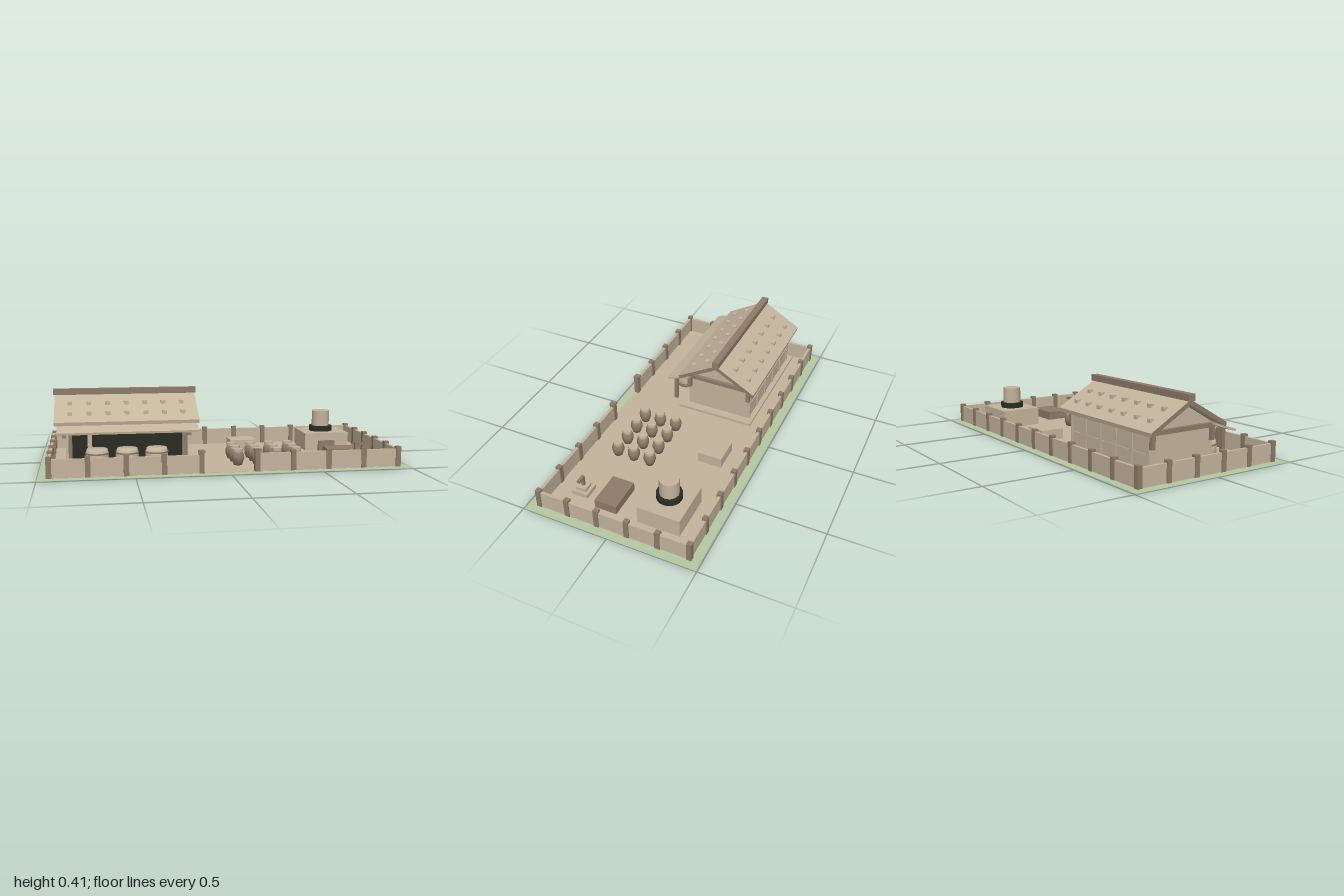
import * as THREE from 'three';

const mat = (name, color) => {
  const m = new THREE.MeshStandardMaterial({ color });
  m.name = name;
  return m;
};

export function createModel() {
  const tan = mat('tan plaster', 0xc4b49c);
  const brown = mat('brown timber', 0x8e7b69);
  const dark = mat('dark opening', 0x2c2c26);
  const grass = mat('grass green', 0xb6c8a2);
  const root = new THREE.Group();
  root.name = 'walledYard';

  const add = (parent, name, geometry, material, x = 0, y = 0, z = 0) => {
    const mesh = new THREE.Mesh(geometry, material);
    mesh.name = name;
    mesh.position.set(x, y, z);
    parent.add(mesh);
    return mesh;
  };
  const group = (name, x = 0, y = 0, z = 0) => {
    const g = new THREE.Group();
    g.name = name;
    g.position.set(x, y, z);
    root.add(g);
    return g;
  };
  // Box given by its ranges on each axis
  const box = (parent, name, material, [x0, x1], [y0, y1], [z0, z1]) =>
    add(parent, name, new THREE.BoxGeometry(x1 - x0, y1 - y0, z1 - z0), material,
      (x0 + x1) / 2, (y0 + y1) / 2, (z0 + z1) / 2);
  // Prism along x from a cross-section of [z, y] points; materials are [ends, sides]
  const prism = (parent, name, materials, points, x0, x1) => {
    const shape = new THREE.Shape(points.map(([z, y]) => new THREE.Vector2(-z, y)));
    const g = new THREE.ExtrudeGeometry(shape, { depth: x1 - x0, bevelEnabled: false });
    g.rotateY(Math.PI / 2);
    return add(parent, name, g, materials, x0);
  };
  const cylinder = (parent, name, material, r, y0, y1, sides = 16, x = 0, z = 0) =>
    add(parent, name, new THREE.CylinderGeometry(r, r, y1 - y0, sides), material, x, (y0 + y1) / 2, z);

  // Ground
  const ground = group('ground');
  box(ground, 'grass', grass, [-1, 1], [0.0005, 0.002], [-0.493, 0.493]);
  box(ground, 'yard', tan, [-0.95, 0.95], [0, 0.004], [-0.443, 0.443]);

  // Perimeter wall with a gate gap at the front
  const fence = group('perimeterWall');
  const T = 0.008;
  box(fence, 'backWall', tan, [-0.94, 0.94], [0, 0.1], [-0.435 - T, -0.435 + T]);
  for (const s of [-1, 1]) {
    box(fence, 'sideWall', tan, [s * 0.94 - T, s * 0.94 + T], [0, 0.1], [-0.435, 0.435]);
    const ends = [s * 0.15, s * 0.94].sort((a, b) => a - b);
    box(fence, 'frontWall', tan, ends, [0, 0.1], [0.432 - T, 0.432 + T]);
  }
  const post = (x, z, h = 0.113) =>
    box(fence, 'wallPost', brown, [x - 0.014, x + 0.014], [0, h], [z - 0.014, z + 0.014]);
  for (let i = 0; i <= 10; i++) post(-0.94 + i * 0.188, -0.435);
  for (const s of [-1, 1]) {
    for (let i = 1; i <= 4; i++) post(s * 0.94, -0.435 + i * 0.174);
    for (let i = 1; i <= 4; i++) post(s * (0.15 + i * 0.1975), 0.432);
    post(s * 0.15, 0.432, 0.12);
    box(fence, 'gatePostCap', brown, [s * 0.15 - 0.018, s * 0.15 + 0.018], [0.113, 0.124], [0.415, 0.449]);
  }

  // Main hall: platform, walls with gables, wall plate
  const hall = group('hall');
  box(hall, 'platform', tan, [-0.91, -0.125], [0, 0.02], [-0.335, 0.13]);
  prism(hall, 'walls', tan,
    [[0.085, 0.02], [0.085, 0.24], [-0.11, 0.352], [-0.305, 0.24], [-0.305, 0.02]], -0.86, -0.175);
  box(hall, 'wallPlate', brown, [-0.88, -0.155], [0.217, 0.24], [-0.315, 0.095]);
  for (const x of [-0.868, -0.167]) {
    for (const z of [0.076, -0.298]) {
      box(hall, 'cornerBracket', brown, [x - 0.011, x + 0.011], [0.15, 0.217], [z - 0.011, z + 0.011]);
    }
  }
  box(hall, 'smallOpening', dark, [-0.84, -0.74], [0.03, 0.19], [0.085, 0.093]);
  box(hall, 'wideOpening', dark, [-0.715, -0.21], [0.03, 0.19], [0.085, 0.093]);

  // Back wall pilasters and rail
  for (let i = 0; i < 6; i++) {
    const x = -0.85 + i * 0.133;
    box(hall, 'pilaster', tan, [x - 0.008, x + 0.008], [0.02, 0.217], [-0.311, -0.304]);
  }
  box(hall, 'backRail', tan, [-0.86, -0.175], [0.112, 0.122], [-0.309, -0.304]);

  // Roof: tan slopes with brown gable ends
  prism(hall, 'roof', [brown, tan],
    [[-0.11, 0.378], [0.127, 0.243], [0.123, 0.222], [-0.11, 0.352], [-0.343, 0.222], [-0.347, 0.243]].reverse(),
    -0.92, -0.115);
  box(hall, 'ridgeBeam', brown, [-0.928, -0.107], [0.372, 0.406], [-0.13, -0.09]);
  for (let i = 0; i < 7; i++) {
    for (const dz of [-0.173, -0.09, 0.09, 0.173]) {
      const x = -0.834 + i * 0.1055, z = -0.11 + dz;
      const y = 0.378 - Math.abs(dz) * 0.57;
      box(hall, 'roofStud', tan, [x - 0.013, x + 0.013], [y - 0.008, y + 0.013], [z - 0.012, z + 0.012]);
    }
  }

  // Veranda canopy and its posts
  prism(hall, 'canopy', tan, [[0.065, 0.243], [0.065, 0.231], [0.204, 0.184], [0.206, 0.196]], -0.905, -0.13);
  for (const x of [-0.832, -0.203]) {
    box(hall, 'canopyPost', brown, [x - 0.01, x + 0.01], [0, 0.192], [0.173, 0.194]);
  }

  // Barrels in front of the hall
  const barrelProfile = [[0, 0], [0.054, 0], [0.063, 0.035], [0.063, 0.07], [0.056, 0.106], [0, 0.106]]
    .map(([r, y]) => new THREE.Vector2(r, y));
  for (const x of [-0.69, -0.527, -0.365]) {
    const barrel = group('barrel', x, 0, 0.195);
    add(barrel, 'barrelBody', new THREE.LatheGeometry(barrelProfile, 16), tan);
    for (const y of [0.025, 0.078]) cylinder(barrel, 'barrelHoop', brown, 0.0645, y, y + 0.008);
  }

  // Rows of storage jars
  const jarProfile = [[0, 0], [0.022, 0], [0.034, 0.035], [0.034, 0.06], [0.024, 0.08], [0, 0.08]]
    .map(([r, y]) => new THREE.Vector2(r, y));
  for (let i = 0; i < 4; i++) {
    for (let j = 0; j < 3; j++) {
      const jar = group('jar', 0.08 + i * 0.111, 0, 0.056 + j * 0.1);
      add(jar, 'jarBody', new THREE.LatheGeometry(jarProfile, 12), brown);
      cylinder(jar, 'jarLid', tan, 0.027, 0.078, 0.094, 12);
    }
  }

  // Kiln with a ringed chimney and a fire door
  const kiln = group('kiln');
  box(kiln, 'kilnBase', tan, [0.565, 0.835], [0, 0.11], [-0.33, -0.088]);
  cylinder(kiln, 'chimneyRing', dark, 0.07, 0.11, 0.142, 20, 0.695, -0.207);
  cylinder(kiln, 'chimney', tan, 0.054, 0.14, 0.235, 12, 0.695, -0.207);
  box(kiln, 'kilnDoor', brown, [0.645, 0.745], [0.004, 0.065], [-0.088, -0.072]);

  // Work table and storage crate
  box(root, 'workTable', brown, [0.635, 0.835], [0, 0.055], [0.035, 0.163]);
  box(root, 'crate', tan, [0.12, 0.28], [0, 0.065], [-0.32, -0.18]);

  // Well: square rim with a lifting arm
  const well = group('well', 0.755, 0, 0.278);
  box(well, 'wellBase', tan, [-0.046, 0.046], [0, 0.03], [-0.047, 0.047]);
  box(well, 'wellRim', tan, [-0.03, 0.03], [0.03, 0.05], [-0.03, 0.03]);
  box(well, 'wellPost', brown, [-0.008, 0.008], [0.05, 0.112], [-0.008, 0.008]);
  box(well, 'wellArm', brown, [-0.008, 0.046], [0.098, 0.112], [-0.008, 0.008]);

  return root;
}
